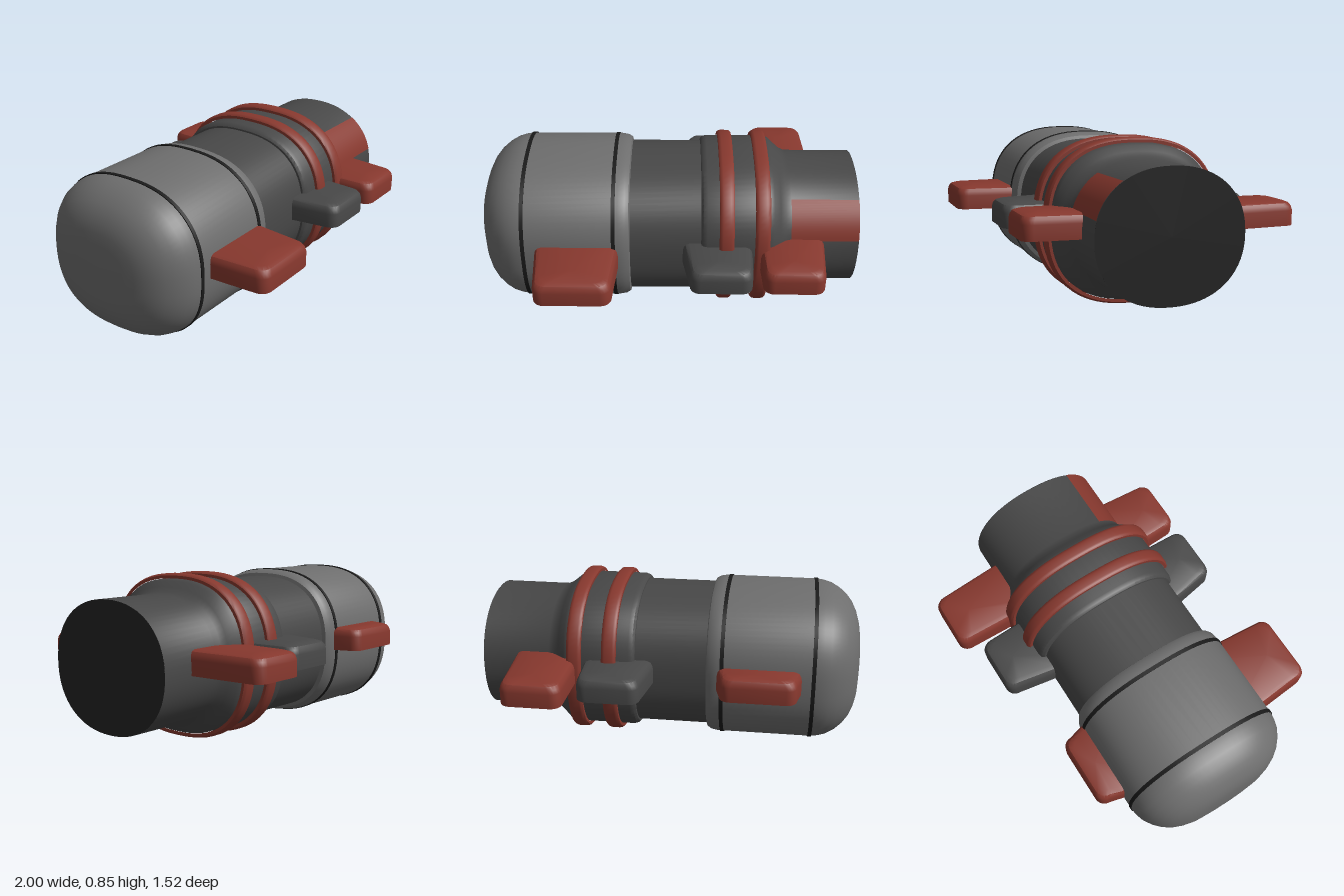
import * as THREE from 'three';
import { toCreasedNormals } from 'three/addons/utils/BufferGeometryUtils.js';

const CY = 0.432, CZ = 0.005;

const paint = (name, color) => {
  const m = new THREE.MeshStandardMaterial({ color });
  m.name = name;
  return m;
};

// Skin a row of closed rings; optional fans close the two ends.
function loft(rings, capStart = false, capEnd = false, crease = 0.55) {
  const n = rings[0].length, pos = [], idx = [];
  rings.forEach(r => r.forEach(p => pos.push(p.x, p.y, p.z)));
  for (let i = 0; i < rings.length - 1; i++) {
    for (let j = 0; j < n; j++) {
      const a = i * n + j, b = i * n + (j + 1) % n;
      idx.push(a, b, a + n, b, b + n, a + n);
    }
  }
  const fan = (row, flip) => {
    const c = new THREE.Vector3();
    rings[row].forEach(p => c.addScaledVector(p, 1 / n));
    const k = pos.length / 3;
    pos.push(c.x, c.y, c.z);
    for (let j = 0; j < n; j++) {
      const a = row * n + j, b = row * n + (j + 1) % n;
      idx.push(k, flip ? b : a, flip ? a : b);
    }
  };
  if (capStart) fan(0, true);
  if (capEnd) fan(rings.length - 1, false);
  const g = new THREE.BufferGeometry();
  g.setAttribute('position', new THREE.Float32BufferAttribute(pos, 3));
  g.setIndex(idx);
  return toCreasedNormals(g, crease);
}

// Point on the squarish oval cross-section; t = 0 is the top, t = PI/2 the front.
function ovalPoint(x, hy, hz, power, t) {
  const f = v => Math.sign(v) * Math.pow(Math.abs(v), 2 / power);
  return new THREE.Vector3(x, CY + hy * f(Math.cos(t)), CZ + hz * f(Math.sin(t)));
}

const oval = ([x, hy, hz, power = 2.45]) =>
  Array.from({ length: 72 }, (_, j) => ovalPoint(x, hy, hz, power, j / 72 * Math.PI * 2));

// Fin with rounded outer corners, flat underside and softened upper edge.
function fin({ side, reach, outer, root, rootZ }) {
  const levels = [[0.413, 0], [0.49, 0], [0.512, 0.005], [0.527, 0.015], [0.535, 0.035]];
  const rings = levels.map(([y, inset]) => {
    const z = reach - inset, r = 0.055;
    const x0 = outer[0] + inset, x1 = outer[1] - inset;
    const pts = [[root[0] + inset, 0.28], [root[0] + inset, rootZ]];
    for (let k = 0; k <= 6; k++) {
      const a = k / 6 * Math.PI / 2;
      pts.push([x0 + r * (1 - Math.cos(a)), z - r * (1 - Math.sin(a))]);
    }
    for (let k = 0; k <= 6; k++) {
      const a = k / 6 * Math.PI / 2;
      pts.push([x1 - r * (1 - Math.sin(a)), z - r * (1 - Math.cos(a))]);
    }
    pts.push([root[1] - inset, rootZ], [root[1] - inset, 0.28]);
    if (side < 0) pts.reverse();
    return pts.map(([x, pz]) => new THREE.Vector3(x, y, side * pz));
  });
  return loft(rings, true, true);
}

export function createModel() {
  const model = new THREE.Group();
  const shellGrey = paint('shell grey', 0x6e6e6e);
  const darkGrey = paint('dark grey', 0x484848);
  const red = paint('brick red', 0x87382e);
  const black = paint('band black', 0x1a1a1a);
  const endBlack = paint('end face charcoal', 0x242424);
  const add = (name, geometry, material) => {
    const mesh = new THREE.Mesh(geometry, material);
    mesh.name = name;
    model.add(mesh);
  };

  // Domed shell on the right-hand end
  const dome = [[-1, 0.36], [-0.993, 0.5], [-0.978, 0.62], [-0.955, 0.73], [-0.925, 0.82],
    [-0.885, 0.9], [-0.84, 0.96], [-0.8, 0.987], [-0.76, 1]];
  const shell = dome.map(([x, s]) => [x, 0.408 * s, 0.45 * s]);
  shell.push([-0.26, 0.408, 0.45], [-0.225, 0.402, 0.444], [-0.205, 0.39, 0.432],
    [-0.197, 0.365, 0.4]);
  add('domedShell', loft(shell.map(oval), true, false, 0.7), shellGrey);

  // Narrow neck, collar and tapering spout
  add('neck', loft([[-0.22, 0.373, 0.411], [0.2, 0.373, 0.411]].map(oval)), darkGrey);
  add('collarAndSpout', loft([
    [0.172, 0.36, 0.4], [0.174, 0.382, 0.422], [0.185, 0.394, 0.434], [0.205, 0.4, 0.44],
    [0.53, 0.4, 0.44], [0.55, 0.39, 0.431], [0.585, 0.362, 0.405, 2.35],
    [0.615, 0.341, 0.386, 2.25], [0.645, 0.331, 0.377, 2.2], [1, 0.331, 0.377, 2.2],
  ].map(oval)), darkGrey);
  add('endFace', loft([[0.998, 0.331, 0.377, 2.2], [1, 0.331, 0.377, 2.2]].map(oval),
    false, true), endBlack);

  // Raised rings round the collar
  for (const [i, x] of [0.305, 0.49].entries()) {
    const section = [[-0.038, 0.025], [-0.038, 0.01], [-0.031, 0.003], [-0.02, 0],
      [0.02, 0], [0.031, 0.003], [0.038, 0.01], [0.038, 0.025]];
    add('collarRing' + (i + 1), loft(section.map(([dx, d]) =>
      oval([x + dx, 0.427 - d, 0.468 - d]))), red);
  }

  // Thin bands round the shell
  for (const [i, x] of [-0.755, -0.284].entries()) {
    add('shellBand' + (i + 1), loft([[-0.01, 0], [-0.01, 0.005], [0.01, 0.005], [0.01, 0]]
      .map(([dx, d]) => oval([x + dx, 0.407 + d, 0.449 + d]))), black);
  }

  // Painted panel on the front of the spout
  const hy = 0.333, hz = 0.379;
  const angleAt = y => Math.acos(Math.pow((y - CY) / hy, 1.1));
  const t0 = angleAt(0.703), t1 = angleAt(0.527), pos = [], idx = [], steps = 16;
  for (let j = 0; j <= steps; j++) {
    for (const x of [0.645, 1]) {
      const p = ovalPoint(x, hy, hz, 2.2, t0 + (t1 - t0) * j / steps);
      pos.push(p.x, p.y, p.z);
    }
    if (j < steps) idx.push(2 * j, 2 * j + 2, 2 * j + 1, 2 * j + 1, 2 * j + 2, 2 * j + 3);
  }
  const panel = new THREE.BufferGeometry();
  panel.setAttribute('position', new THREE.Float32BufferAttribute(pos, 3));
  panel.setIndex(idx);
  panel.computeVertexNormals();
  add('spoutPanel', panel, red);

  // Three fins on each side, with different reaches front and back
  const fins = [
    { name: 'shellFin', outer: [-0.675, -0.28], root: [-0.695, -0.26], rootZ: 0.45,
      front: 0.757, back: 0.58, material: red },
    { name: 'neckFin', outer: [0.113, 0.435], root: [0.075, 0.442], rootZ: 0.4,
      front: 0.662, back: 0.672, material: darkGrey },
    { name: 'spoutFin', outer: [0.488, 0.803], root: [0.478, 0.822], rootZ: 0.36,
      front: 0.662, back: 0.765, material: red },
  ];
  for (const f of fins) {
    add(f.name + 'Front', fin({ ...f, side: 1, reach: f.front }), f.material);
    add(f.name + 'Back', fin({ ...f, side: -1, reach: f.back }), f.material);
  }
  return model;
}
